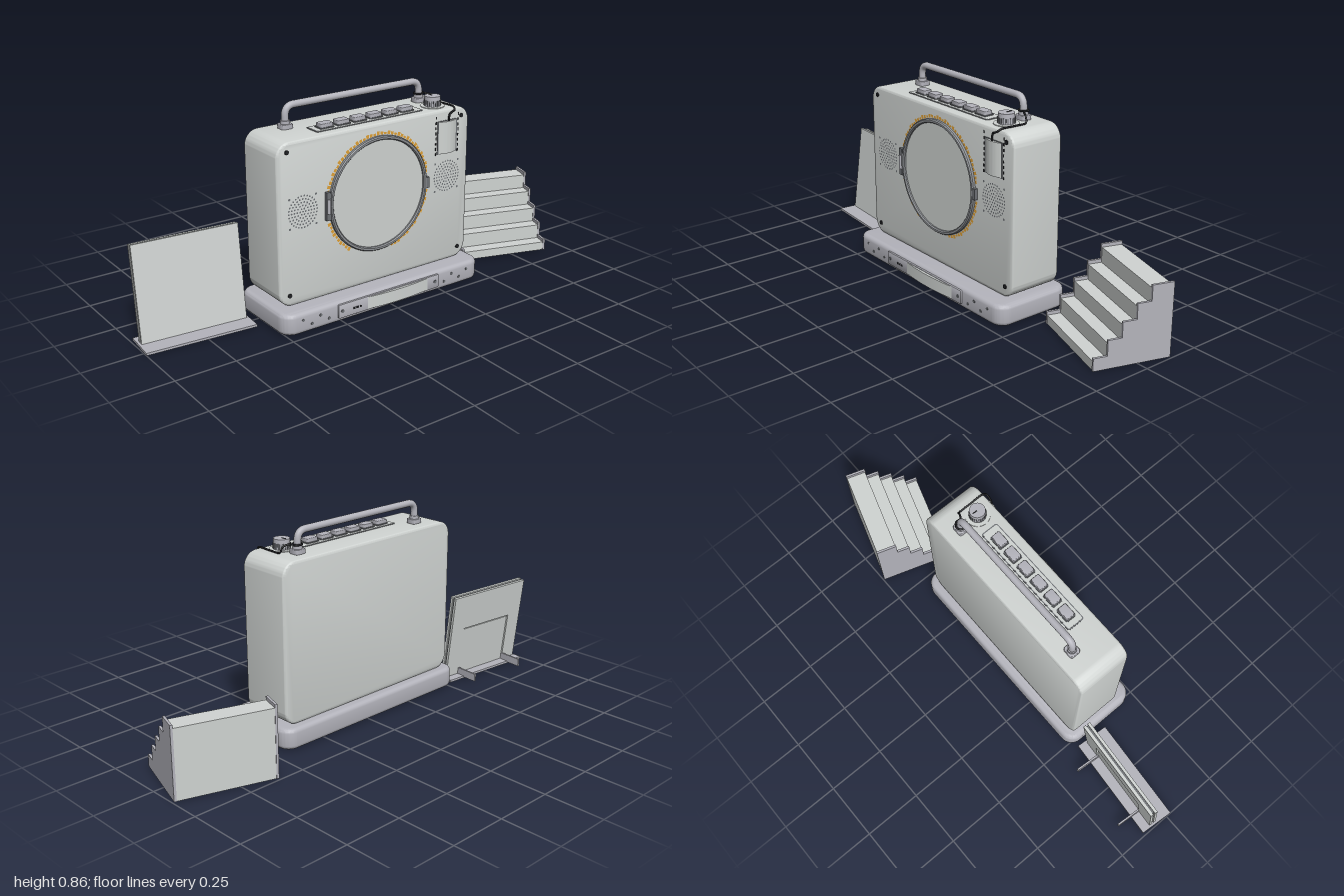
import * as THREE from 'three';
import { mergeGeometries, toCreasedNormals } from 'three/addons/utils/BufferGeometryUtils.js';

const mat = (name, color, side = THREE.FrontSide) => {
  const m = new THREE.MeshStandardMaterial({ color, side });
  m.name = name;
  return m;
};

export function createModel() {
  const light = mat('light shell', 0xd0d4d2);
  const grey = mat('cool grey', 0xb4b4bc);
  const dark = mat('dark grey', 0x6f7276);
  const black = mat('black', 0x202124);
  const amber = mat('amber print', 0xe0a136, THREE.DoubleSide);

  const root = new THREE.Group();
  const add = (name, geo, m, x = 0, y = 0, z = 0, parent = root) => {
    const mesh = new THREE.Mesh(geo, m);
    mesh.name = name;
    mesh.position.set(x, y, z);
    parent.add(mesh);
    return mesh;
  };
  const box = (w, h, d) => new THREE.BoxGeometry(w, h, d);
  const cyl = (r, h, n = 24, r2 = r) => new THREE.CylinderGeometry(r2, r, h, n);
  const zCyl = (r, h, n = 24) => cyl(r, h, n).rotateX(Math.PI / 2);

  // Rounded rectangle in XY, extruded and centred along z, with bevelled rims
  const roundedRect = (w, h, r) => {
    const s = new THREE.Shape(), a = w / 2, b = h / 2;
    s.moveTo(-a + r, -b);
    s.lineTo(a - r, -b).absarc(a - r, -b + r, r, -Math.PI / 2, 0);
    s.lineTo(a, b - r).absarc(a - r, b - r, r, 0, Math.PI / 2);
    s.lineTo(-a + r, b).absarc(-a + r, b - r, r, Math.PI / 2, Math.PI);
    s.lineTo(-a, -b + r).absarc(-a + r, -b + r, r, Math.PI, Math.PI * 1.5);
    return s;
  };
  const slab = (w, h, d, r, bevel) => {
    const g = new THREE.ExtrudeGeometry(roundedRect(w, h, r), {
      depth: d - 2 * bevel, bevelEnabled: bevel > 0, bevelThickness: bevel,
      bevelSize: bevel, bevelOffset: -bevel, bevelSegments: 4, curveSegments: 10,
    });
    g.translate(0, 0, -d / 2 + bevel);
    return toCreasedNormals(g, 0.6);
  };
  // Plate bowed outward along +z
  const bowed = (w, h, d) => {
    const s = new THREE.Shape();
    s.moveTo(-w / 2, 0).lineTo(w / 2, 0).quadraticCurveTo(0, 2 * d, -w / 2, 0);
    const g = new THREE.ExtrudeGeometry(s, { depth: h, bevelEnabled: false, curveSegments: 16 });
    g.translate(0, 0, -h / 2).rotateX(Math.PI / 2);
    return toCreasedNormals(g, 0.5);
  };

  // Main case
  const cx = -0.03;
  add('caseBody', slab(0.93, 0.662, 0.235, 0.06, 0.01), light, cx, 0.426, 0.0325);
  for (const x of [-0.45, 0.393]) for (const y of [0.14, 0.72])
    add('caseScrew', zCyl(0.009, 0.006, 12), black, x, y, 0.151);

  // Base with front panel and feet
  add('base', slab(0.98, 0.348, 0.088, 0.055, 0.018).rotateX(-Math.PI / 2), grey, cx, 0.051, 0.054);
  add('basePanel', slab(0.505, 0.058, 0.01, 0.006, 0.002), grey, -0.0275, 0.055, 0.23);
  add('baseDisplay', bowed(0.32, 0.052, 0.012), light, 0.013, 0.055, 0.234);
  for (const x of [-0.262, 0.205]) add('panelScrew', zCyl(0.007, 0.004, 12), dark, x, 0.055, 0.236);
  for (const x of [-0.205, -0.19, -0.175]) add('panelMark', box(0.009, 0.008, 0.003), black, x, 0.053, 0.2355);
  for (const x of [-0.46, 0.4]) for (const z of [-0.07, 0.17])
    add('baseFoot', cyl(0.026, 0.01), black, x, 0.005, z);
  for (const side of [-1, 1]) for (let i = 0; i < 4; i++)
    add('baseDimple', zCyl(0.006, 0.003, 12), dark, cx + side * (0.29 + i * 0.04), 0.04 + (i % 2) * 0.025, 0.2285);

  // Round door: ring, disc, side hinge and latch
  const dx = -0.027, dy = 0.47;
  const ringProfile = [[0.222, 0], [0.238, 0], [0.238, 0.011], [0.234, 0.016], [0.226, 0.016], [0.222, 0.011], [0.222, 0]]
    .map(p => new THREE.Vector2(p[0], p[1])).reverse();
  const ring = toCreasedNormals(new THREE.LatheGeometry(ringProfile, 72), 0.5).rotateX(Math.PI / 2);
  const ringMat = mat('door ring', 0x8f9296, THREE.DoubleSide);
  add('doorRing', ring, ringMat, dx, dy, 0.149);
  add('doorDisc', zCyl(0.223, 0.006, 72), light, dx, dy, 0.151);
  add('doorHinge', box(0.02, 0.115, 0.015), dark, -0.272, 0.472, 0.1565);
  add('doorHingePin', cyl(0.008, 0.06, 12), grey, -0.272, 0.472, 0.163);
  add('doorLatch', box(0.022, 0.045, 0.015), dark, 0.212, 0.468, 0.1565);

  // Printed amber dashes around the door
  const dashes = [];
  for (let a = -75, i = 0; a < 237; a += 4, i++) {
    if (Math.abs(a) < 9 || Math.abs(a - 180) < 14) continue;
    const outer = 0.25 + (i % 3) * 0.003;
    dashes.push(new THREE.RingGeometry(0.241, outer, 3, 1, a * Math.PI / 180, 3 * Math.PI / 180));
  }
  add('amberDashes', mergeGeometries(dashes), amber, dx, dy, 0.151);

  // Speaker grilles made of concentric holes
  const holes = [];
  for (let r = 0; r < 6; r++) {
    const n = r ? r * 6 : 1;
    for (let i = 0; i < n; i++) {
      const a = i / n * Math.PI * 2;
      holes.push(new THREE.CircleGeometry(0.0038, 8).translate(Math.cos(a) * r * 0.0128, Math.sin(a) * r * 0.0128, 0));
    }
  }
  for (const sx of [-1, 1]) for (const sy of [-1, 1])
    holes.push(new THREE.CircleGeometry(0.005, 10).translate(sx * 0.06, sy * 0.06, 0));
  const grille = mergeGeometries(holes);
  for (const x of [-0.383, 0.322]) add('speakerGrille', grille, dark, x, 0.473, 0.151);

  // Hanging tag with dashed outline
  add('tag', bowed(0.098, 0.135, 0.014), light, 0.32, 0.642, 0.151);
  add('tagBacking', box(0.102, 0.14, 0.004), dark, 0.32, 0.642, 0.151);
  for (let i = 0; i < 8; i++) for (const s of [-1, 1])
    add('tagStitch', box(0.004, 0.011, 0.002), black, 0.32 + s * 0.058, 0.575 + i * 0.022, 0.151);

  // Carrying handle
  const hz = -0.012, V = (x, y, z) => new THREE.Vector3(x, y, z);
  const path = new THREE.CurvePath();
  path.add(new THREE.LineCurve3(V(-0.352, 0.76, hz), V(-0.352, 0.805, hz)));
  path.add(new THREE.QuadraticBezierCurve3(V(-0.352, 0.805, hz), V(-0.352, 0.846, hz), V(-0.312, 0.846, hz)));
  path.add(new THREE.LineCurve3(V(-0.312, 0.846, hz), V(0.258, 0.846, hz)));
  path.add(new THREE.QuadraticBezierCurve3(V(0.258, 0.846, hz), V(0.298, 0.846, hz), V(0.298, 0.805, hz)));
  path.add(new THREE.LineCurve3(V(0.298, 0.805, hz), V(0.298, 0.76, hz)));
  add('handle', new THREE.TubeGeometry(path, 120, 0.0145, 14), grey);
  for (const x of [-0.352, 0.298]) {
    add('handleFoot', slab(0.05, 0.046, 0.02, 0.01, 0.003).rotateX(-Math.PI / 2), grey, x, 0.766, hz);
    add('handleCollar', cyl(0.019, 0.014), grey, x, 0.782, hz);
  }

  // Top buttons and knob
  add('buttonPlate', slab(0.515, 0.078, 0.004, 0.01, 0).rotateX(-Math.PI / 2), dark, -0.029, 0.757, 0.07);
  add('buttonPlateInset', slab(0.505, 0.07, 0.004, 0.008, 0).rotateX(-Math.PI / 2), light, -0.029, 0.758, 0.07);
  for (let i = 0; i < 6; i++) {
    const x = -0.226 + i * 0.0777;
    add('buttonFrame', slab(0.064, 0.047, 0.006, 0.006, 0).rotateX(-Math.PI / 2), dark, x, 0.761, 0.07);
    add('button', slab(0.056, 0.039, 0.02, 0.006, 0.003).rotateX(-Math.PI / 2), grey, x, 0.769, 0.07);
  }
  add('knobDial', cyl(0.05, 0.004, 32), light, 0.302, 0.758, 0.075);
  add('knob', cyl(0.034, 0.042, 32, 0.032), grey, 0.302, 0.78, 0.075);
  add('knobPointer', box(0.004, 0.003, 0.022), black, 0.302, 0.801, 0.062);
  for (let i = 0; i < 24; i++) {
    const a = i / 24 * Math.PI * 2;
    const rib = add('knobRib', box(0.004, 0.022, 0.003), dark, 0.302 + Math.sin(a) * 0.0335, 0.773, 0.075 + Math.cos(a) * 0.0335);
    rib.rotation.y = a;
  }

  // Cord looped on the handle and over the front edge
  const cord = new THREE.CatmullRomCurve3([
    V(0.29, 0.793, -0.03), V(0.318, 0.793, -0.02), V(0.32, 0.793, 0.005), V(0.345, 0.785, 0.018), V(0.355, 0.763, 0.024),
    V(0.357, 0.761, 0.08), V(0.356, 0.761, 0.145), V(0.35, 0.752, 0.159), V(0.325, 0.738, 0.16), V(0.32, 0.705, 0.16)]);
  add('cord', new THREE.TubeGeometry(cord, 80, 0.004, 6), black);
  add('cordLoop', new THREE.TorusGeometry(0.018, 0.004, 6, 20).rotateX(Math.PI / 2), black, 0.298, 0.793, hz);

  // Stepped riser: treads between two stepped side panels
  const stairs = new THREE.Group();
  stairs.name = 'steppedRiser';
  stairs.position.set(0.757, 0, -0.037);
  stairs.rotation.y = -0.31;
  root.add(stairs);
  const stepped = (width, drop, inset) => {
    const s = new THREE.Shape();
    s.moveTo(-0.155 + inset, 0.004);
    s.lineTo(0.155 - inset, 0.004);
    for (let i = 0; i < 5; i++) {
      const y = 0.055 + i * 0.062 - drop, front = 0.155 - i * 0.0555 - inset;
      s.lineTo(front, y);
      s.lineTo(i < 4 ? front - 0.0555 : -0.155 + inset, y);
    }
    const g = new THREE.ExtrudeGeometry(s, { depth: width, bevelEnabled: false });
    return g.translate(0, 0, -width / 2).rotateY(-Math.PI / 2);
  };
  add('treads', stepped(0.385, 0.014, 0.002), light, 0, 0, 0, stairs);
  for (const s of [-1, 1]) {
    add('riserSide', stepped(0.01, 0, 0), grey, s * 0.197, 0, 0, stairs);
    for (const z of [-0.125, 0.125]) add('riserFoot', cyl(0.015, 0.008, 16), black, s * 0.17, 0.004, z, stairs);
  }

  // Leaning display board on a flat stand
  const stand = new THREE.Group();
  stand.name = 'boardStand';
  stand.position.set(-0.767, 0, -0.032);
  stand.rotation.y = -0.082;
  root.add(stand);
  add('standPlate', box(0.456, 0.01, 0.145), grey, 0, 0.005, 0, stand);
  for (const x of [-0.142, 0.142]) add('standProng', box(0.008, 0.034, 0.11), grey, x, 0.022, -0.085, stand);
  const board = new THREE.Group();
  board.name = 'board';
  board.position.set(0, 0.01, 0);
  board.rotation.x = -0.125;
  stand.add(board);
  add('boardFront', box(0.436, 0.39, 0.012), light, 0, 0.196, -0.006, board);
  add('boardCore', box(0.424, 0.382, 0.008), dark, 0, 0.194, -0.016, board);
  const back = new THREE.Shape([[-0.218, 0], [-0.142, 0], [-0.142, 0.225], [0.142, 0.225], [0.142, 0], [0.218, 0], [0.218, 0.385], [-0.218, 0.385]]
    .map(p => new THREE.Vector2(p[0], p[1])));
  add('boardBack', new THREE.ExtrudeGeometry(back, { depth: 0.012, bevelEnabled: false }), light, 0, 0.004, -0.032, board);
  add('boardBackInset', box(0.276, 0.219, 0.008), light, 0, 0.1135, -0.024, board);

  return root;
}
